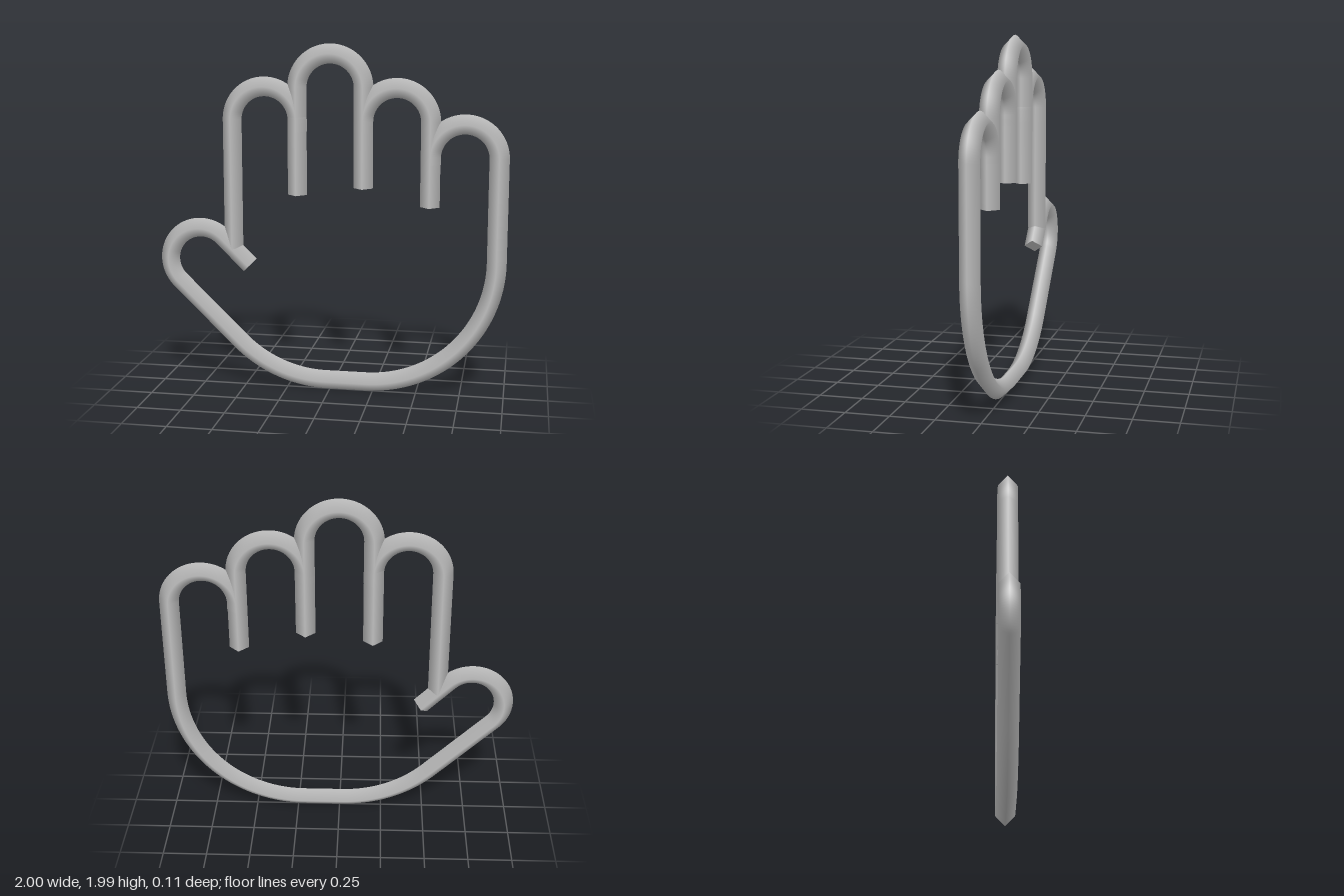
import * as THREE from 'three';

const R = 0.055; // half-width of the diamond-section bar

// Sweep a diamond section with smooth radial normals along a flat 2D path.
function sweep(path) {
  const pts = path.getPoints(24).filter((p, i, a) => i === 0 || p.distanceTo(a[i - 1]) > 1e-4);
  const pos = [], nor = [], idx = [];
  const dir = (a, b) => b.clone().sub(a).normalize();
  const last = pts.length - 1;
  const rings = pts.map((p, i) => {
    const t = new THREE.Vector2();
    if (i > 0) t.add(dir(pts[i - 1], p));
    if (i < last) t.add(dir(p, pts[i + 1]));
    t.normalize();
    const normals = [[-t.y, t.x, 0], [0, 0, 1], [t.y, -t.x, 0], [0, 0, -1]];
    return { t, normals, corners: normals.map(n => [p.x + n[0] * R, p.y + n[1] * R, n[2] * R]) };
  });
  rings.forEach((ring, i) => {
    ring.corners.forEach((c, k) => { pos.push(...c); nor.push(...ring.normals[k]); });
    if (i === last) return;
    for (let k = 0; k < 4; k++) {
      const a = i * 4 + k, b = i * 4 + (k + 1) % 4;
      idx.push(a, b, a + 4, b, b + 4, a + 4);
    }
  });
  // Flat end caps
  [[rings[0], -1], [rings[last], 1]].forEach(([ring, s]) => {
    const o = pos.length / 3;
    ring.corners.forEach(c => { pos.push(...c); nor.push(ring.t.x * s, ring.t.y * s, 0); });
    if (s > 0) idx.push(o, o + 1, o + 2, o, o + 2, o + 3);
    else idx.push(o, o + 2, o + 1, o, o + 3, o + 2);
  });
  const g = new THREE.BufferGeometry();
  g.setAttribute('position', new THREE.Float32BufferAttribute(pos, 3));
  g.setAttribute('normal', new THREE.Float32BufferAttribute(nor, 3));
  g.setIndex(idx);
  return g;
}

export function createModel() {
  const group = new THREE.Group();
  group.name = 'handOutline';
  const metal = new THREE.MeshStandardMaterial({ color: 0xbfbfbf });
  metal.name = 'grey';
  const add = (name, path) => {
    const mesh = new THREE.Mesh(sweep(path), metal);
    mesh.name = name;
    group.add(mesh);
  };

  // Three arched fingers: centre x, arch centre y, left and right leg ends
  const r = 0.188;
  [
    ['indexFinger', -0.374, 1.562, 0.82, 1.5],
    ['middleFinger', 0.001, 1.747, 1.14, 1.187],
    ['ringFinger', 0.377, 1.562, 1.5, 1.09],
  ].forEach(([name, x, y, left, right]) => {
    const path = new THREE.Path();
    path.moveTo(x - r, left);
    path.lineTo(x - r, y);
    path.absarc(x, y, r, Math.PI, 0, true);
    path.lineTo(x + r, right);
    add(name, path);
  });

  // Little finger, palm edge, heel and thumb in one continuous bar
  const palm = new THREE.Path();
  palm.moveTo(0.567, 1.33);
  palm.lineTo(0.567, 1.368);
  palm.absarc(0.755, 1.368, r, Math.PI, 0, true);
  palm.lineTo(0.943, 0.785);
  palm.absarc(0.213, 0.785, 0.73, 0, -Math.PI / 2, true);
  palm.absarc(-0.02, 0.785, 0.73, -Math.PI / 2, -Math.PI * 0.75, true);
  palm.absarc(-0.758, 0.747, 0.186, -Math.PI * 0.75, -Math.PI * 1.75, true);
  palm.lineTo(-0.468, 0.72);
  add('palmAndThumb', palm);

  return group;
}
